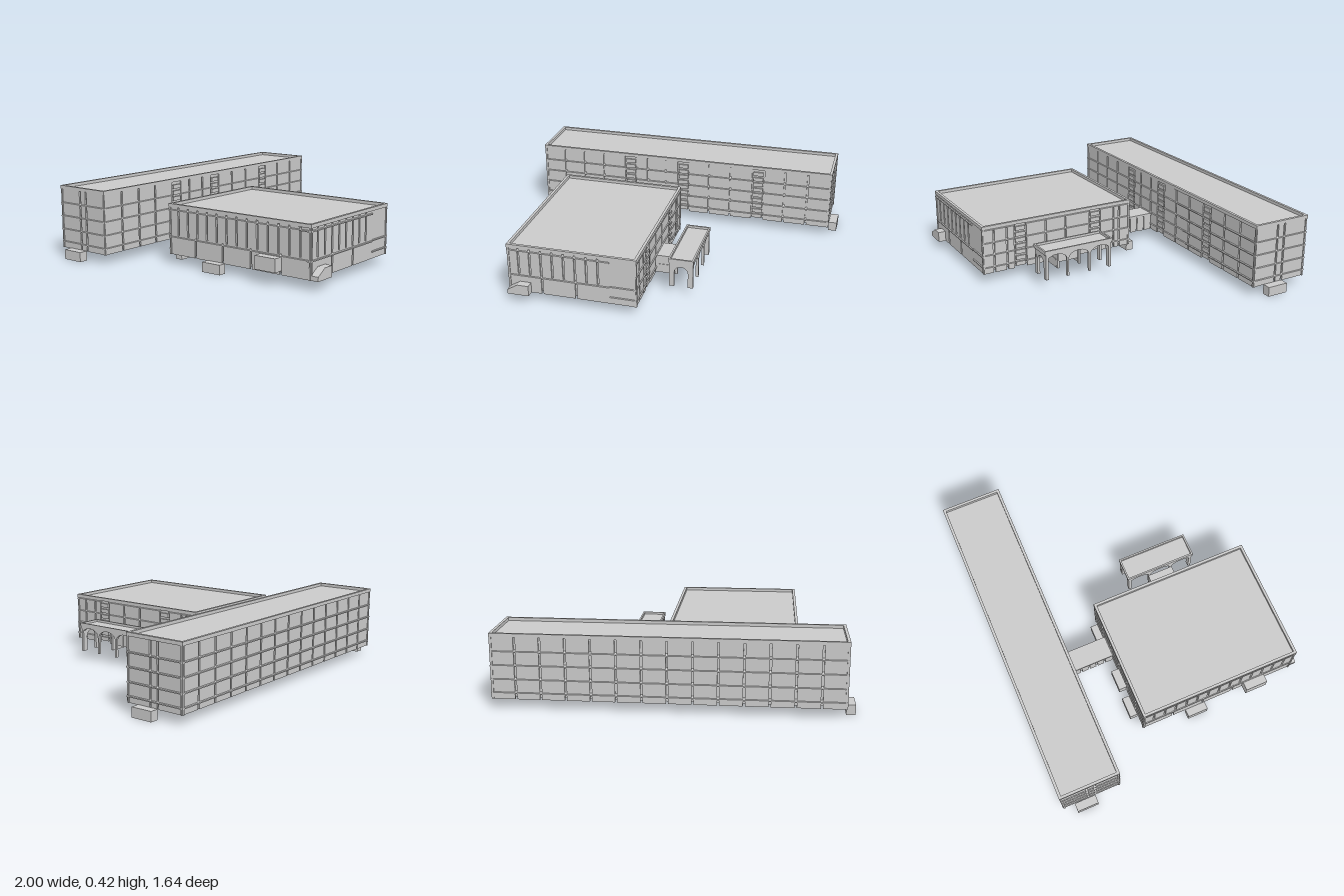
import * as THREE from 'three';
import { mergeGeometries } from 'three/addons/utils/BufferGeometryUtils.js';

const BASE = 0.053; // underside of the raised buildings
const INSET = 0.014; // depth of the grooves between facade panels

export function createModel() {
  const root = new THREE.Group();
  const concrete = new THREE.MeshStandardMaterial({ color: 0xcacaca });
  concrete.name = 'concrete grey';

  const add = (name, geometry, parent = root) => {
    const mesh = new THREE.Mesh(geometry, concrete);
    mesh.name = name;
    parent.add(mesh);
    return mesh;
  };
  // Box geometry given by its minimum and maximum corners
  const box = (x0, x1, y0, y1, z0, z1) =>
    new THREE.BoxGeometry(x1 - x0, y1 - y0, z1 - z0)
      .translate((x0 + x1) / 2, (y0 + y1) / 2, (z0 + z1) / 2);
  // Hollow box, open underneath
  const shell = (x0, x1, y0, y1, z0, z1, t = 0.006) => mergeGeometries([
    box(x0, x1, y1 - t, y1, z0, z1),
    box(x0, x0 + t, y0, y1 - t, z0, z1),
    box(x1 - t, x1, y0, y1 - t, z0, z1),
    box(x0 + t, x1 - t, y0, y1 - t, z0, z0 + t),
    box(x0 + t, x1 - t, y0, y1 - t, z1 - t, z1),
  ]);

  const rect = (Type, x0, x1, y0, y1) => {
    const p = new Type();
    p.moveTo(x0, y0);
    p.lineTo(x1, y0);
    p.lineTo(x1, y1);
    p.lineTo(x0, y1);
    p.closePath();
    return p;
  };

  // Ledge with a weathered (sloping) top, its outer edge on z = 0
  function ledge(a, b, y) {
    const g = box(a, b, y - 0.007, y + 0.009, -INSET, 0);
    const p = g.attributes.position;
    for (let i = 0; i < p.count; i++)
      if (p.getY(i) > y && p.getZ(i) > -INSET / 2) p.setY(i, y - 0.001);
    g.computeVertexNormals();
    return g;
  }

  // Core with a recessed underside, and a raised parapet around a flat roof
  function block(name, x0, x1, z0, z1, top) {
    const i = INSET, rim = 0.016;
    add(name + 'Core', box(x0 + i, x1 - i, BASE + 0.012, top - 0.018, z0 + i, z1 - i));
    const shape = rect(THREE.Shape, x0, x1, -z1, -z0);
    shape.holes.push(rect(THREE.Path, x0 + rim, x1 - rim, -z1 + rim, -z0 - rim));
    const parapet = new THREE.ExtrudeGeometry(shape, { depth: 0.02, bevelEnabled: false });
    add(name + 'Parapet', parapet.rotateX(-Math.PI / 2).translate(0, top - 0.02, 0));
  }

  // Panels, ledges and louvred stair bays on a wall whose outer plane is local z = 0.
  // u runs along the wall: world x for front/back, world z for the right side,
  // and reversed z for the left side.
  function wall(name, side, plane, u0, u1, y0, y1, joints, levels, bays = []) {
    const parts = [];
    const edges = [u0, ...joints, ...bays.flatMap((b) => [b - 0.035, b + 0.035]), u1]
      .sort((a, b) => a - b);
    const rows = [y0, ...levels, y1];
    for (let i = 0; i < edges.length - 1; i++) {
      const a = edges[i], b = edges[i + 1], mid = (a + b) / 2;
      if (bays.some((c) => Math.abs(c - mid) < 0.01)) {
        for (let y = y0 + 0.012; y < y1 - 0.01; y += 0.0365)
          parts.push(box(a + 0.004, b - 0.004, y, Math.min(y + 0.024, y1), -INSET, -0.003));
        continue;
      }
      const ga = i === 0 ? 0 : 0.0055, gb = i === edges.length - 2 ? 0 : 0.0055;
      for (let r = 0; r < rows.length - 1; r++)
        parts.push(box(a + ga, b - gb, rows[r], rows[r + 1], -INSET, -0.005));
      for (const y of levels) parts.push(ledge(a, b, y));
    }
    const mesh = add(name, mergeGeometries(parts));
    if (side === 'front') mesh.position.z = plane;
    if (side === 'back') {
      mesh.geometry.rotateY(Math.PI);
      mesh.geometry.translate(u0 + u1, 0, 0);
      mesh.position.z = plane;
    }
    if (side === 'left') {
      mesh.geometry.rotateY(Math.PI / 2);
      mesh.geometry.translate(0, 0, u0 + u1);
      mesh.position.x = plane;
    }
    if (side === 'right') {
      mesh.geometry.rotateY(-Math.PI / 2);
      mesh.position.x = plane;
    }
  }
  const series = (from, to, n) =>
    Array.from({ length: n - 1 }, (_, i) => from + ((to - from) * (i + 1)) / n);

  // Long four-storey block
  const floors = [0.09, 0.165, 0.243, 0.32];
  block('longBlock', -0.953, 0.953, -0.822, -0.46, 0.42);
  wall('longBlockFront', 'front', -0.46, -0.953, 0.953, BASE, 0.402,
    [-0.81, -0.675, -0.54, -0.24, -0.12, 0.17, 0.31, 0.66, 0.805], floors, [-0.355, 0, 0.49]);
  wall('longBlockBack', 'back', -0.822, -0.953, 0.953, BASE, 0.402, series(-0.953, 0.953, 14), floors);
  for (const [side, x] of [['left', 0.953], ['right', -0.953]]) {
    // the left wall is laid out in reverse, so mirror its joints about the centre
    const joints = [-0.662, -0.614].map((z) => (side === 'left' ? -1.282 - z : z));
    wall('longBlockEnd', side, x, -0.822, -0.46, BASE, 0.402, joints, floors);
  }

  // Broad lower hall
  const hallFloors = [0.09, 0.165, 0.24, 0.32];
  const mirrorZ = (z) => 0.57 - z;
  block('hall', -0.7, 0.05, -0.205, 0.775, 0.345);
  wall('hallFrontWindows', 'front', 0.775, -0.7, -0.105, 0.165, 0.327, series(-0.7, -0.105, 9), [0.31]);
  wall('hallFrontBase', 'front', 0.775, -0.7, -0.105, BASE, 0.165, [-0.5, -0.3], [0.155]);
  wall('hallFrontCorner', 'front', 0.775, -0.105, 0.05, BASE, 0.327, [], [0.095, 0.16]);
  wall('hallLeft', 'left', 0.05, -0.205, 0.775, BASE, 0.327,
    [0.702, 0.62, 0.37, 0.24, -0.09, -0.13].map(mirrorZ), hallFloors, [0.535, 0.04].map(mirrorZ));
  wall('hallRightWindows', 'right', -0.7, -0.205, 0.775, 0.165, 0.327, series(-0.205, 0.775, 14), [0.31]);
  wall('hallRightBase', 'right', -0.7, -0.205, 0.775, BASE, 0.165, series(-0.205, 0.775, 5), [0.155]);
  wall('hallBack', 'back', -0.205, -0.7, 0.05, BASE, 0.327, series(-0.7, 0.05, 6), hallFloors);

  // Covered link between the two buildings, with narrow side windows
  add('linkCore', box(-0.222, -0.122, BASE + 0.012, 0.155, -0.475, -0.19));
  add('linkRoof', box(-0.236, -0.108, 0.148, 0.162, -0.475, -0.19));
  for (const [side, x] of [['left', -0.11], ['right', -0.234]])
    wall('linkWall', side, x, -0.46, -0.205, BASE, 0.15, series(-0.46, -0.205, 5), []);

  // Arcaded portico: thin walls pierced by round arches
  function arcade(length, centres, width, spring) {
    const s = new THREE.Shape();
    const foot = BASE, top = 0.215, r = width / 2;
    s.moveTo(-length / 2, foot);
    for (const c of centres) {
      s.lineTo(c - r, foot);
      s.lineTo(c - r, spring);
      s.absellipse(c, spring, r, 0.04, Math.PI, 0, true);
      s.lineTo(c + r, foot);
    }
    s.lineTo(length / 2, foot);
    s.lineTo(length / 2, top);
    s.lineTo(-length / 2, top);
    s.closePath();
    return new THREE.ExtrudeGeometry(s, { depth: 0.016, bevelEnabled: false, curveSegments: 10 })
      .translate(0, 0, -0.016);
  }
  const portico = new THREE.Group();
  portico.name = 'portico';
  portico.position.set(0.227, 0, 0.285);
  root.add(portico);
  for (const s of [1, -1]) {
    const long = add('porticoLongArcade', arcade(0.425, [-0.142, 0, 0.142], 0.13, 0.16), portico);
    long.rotation.y = (s * Math.PI) / 2;
    long.position.x = s * 0.07;
    const short = add('porticoEndArch', arcade(0.14, [0], 0.08, 0.14), portico);
    short.rotation.y = s > 0 ? 0 : Math.PI;
    short.position.z = s * 0.212;
  }
  add('porticoRoof', box(-0.072, 0.072, 0.206, 0.216, -0.218, 0.218), portico);
  const rim = rect(THREE.Shape, -0.073, 0.073, -0.219, 0.219);
  rim.holes.push(rect(THREE.Path, -0.063, 0.063, -0.209, 0.209));
  add('porticoParapet', new THREE.ExtrudeGeometry(rim, { depth: 0.017, bevelEnabled: false })
    .rotateX(-Math.PI / 2).translate(0, 0.213, 0), portico);

  // Passage from the portico into the hall, open underneath, with a double door
  add('passageRoof', box(0.04, 0.155, 0.152, 0.162, 0.203, 0.362));
  for (const z of [0.203, 0.352]) {
    add('passageWall', box(0.04, 0.155, BASE, 0.152, z, z + 0.01));
    add('passageRail', box(0.05, 0.155, 0.1, 0.108, z - 0.003, z + 0.013));
  }
  for (const z of [0.213, 0.284])
    add('passageDoor', box(0.145, 0.153, 0.083, 0.152, z, z + 0.068));

  // Hollow entrance steps below floor level
  const steps = [
    [-1, -0.95, -0.75, -0.62], [0.95, 1, -0.662, -0.535],
    [-0.605, -0.48, -0.247, -0.2], [-0.107, 0.02, -0.247, -0.2],
    [-0.742, -0.695, 0.077, 0.203],
  ];
  for (const [x0, x1, z0, z1] of steps) add('entranceStep', shell(x0, x1, 0, BASE + 0.003, z0, z1));

  // Raised landings at the back and right side, and a sloping one at the front
  add('backLanding', shell(-0.437, -0.312, BASE, 0.113, -0.247, -0.2));
  add('rightLanding', shell(-0.75, -0.695, 0.075, 0.15, 0.45, 0.585));
  const slope = new THREE.Shape();
  slope.moveTo(-0.693, BASE);
  slope.lineTo(-0.567, BASE);
  slope.lineTo(-0.567, 0.115);
  slope.lineTo(-0.632, 0.115);
  slope.lineTo(-0.693, 0.078);
  slope.closePath();
  add('frontLanding', new THREE.ExtrudeGeometry(slope, { depth: 0.055, bevelEnabled: false })
    .translate(0, 0, 0.76));

  return root;
}
